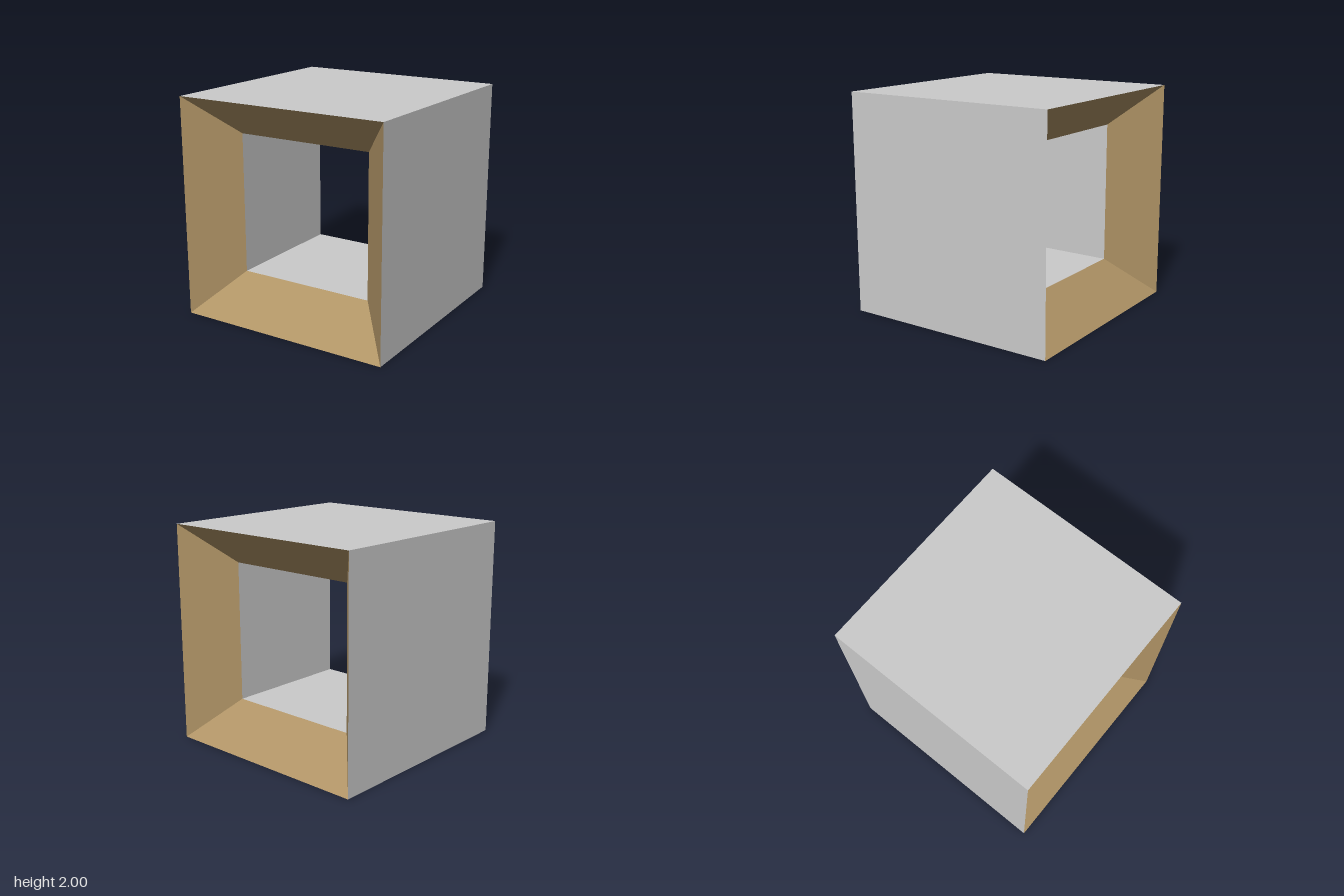
import * as THREE from 'three';

const HALF = 1;      // half side of the cube
const HOLE = 0.645;  // half side of the square opening
const DEPTH = 0.61;  // half length of the straight inner tunnel

// Square ring swept from a [half width, z] profile, with flat faces
function squareRing(name, profile, material) {
  const points = profile.map(([w, z]) => new THREE.Vector2(w * Math.SQRT2, z));
  const geometry = new THREE.LatheGeometry(points, 4, Math.PI / 4).toNonIndexed();
  geometry.rotateX(Math.PI / 2);
  geometry.translate(0, HALF, 0);
  geometry.computeVertexNormals();
  const mesh = new THREE.Mesh(geometry, material);
  mesh.name = name;
  return mesh;
}

export function createModel() {
  const grey = new THREE.MeshStandardMaterial({ color: 0xcbcbcb });
  grey.name = 'light grey';
  const tan = new THREE.MeshStandardMaterial({ color: 0xb09466 });
  tan.name = 'tan';

  const group = new THREE.Group();
  group.name = 'hollowCube';
  group.add(
    // Grey outer walls and inner tunnel
    squareRing('outerWalls', [[HALF, -HALF], [HALF, HALF]], grey),
    squareRing('innerTunnel', [[HOLE, DEPTH], [HOLE, -DEPTH]], grey),
    // Tan bevels sloping into the opening at both ends
    squareRing('frontBevel', [[HALF, HALF], [HOLE, DEPTH]], tan),
    squareRing('backBevel', [[HOLE, -DEPTH], [HALF, -HALF]], tan),
  );
  return group;
}
